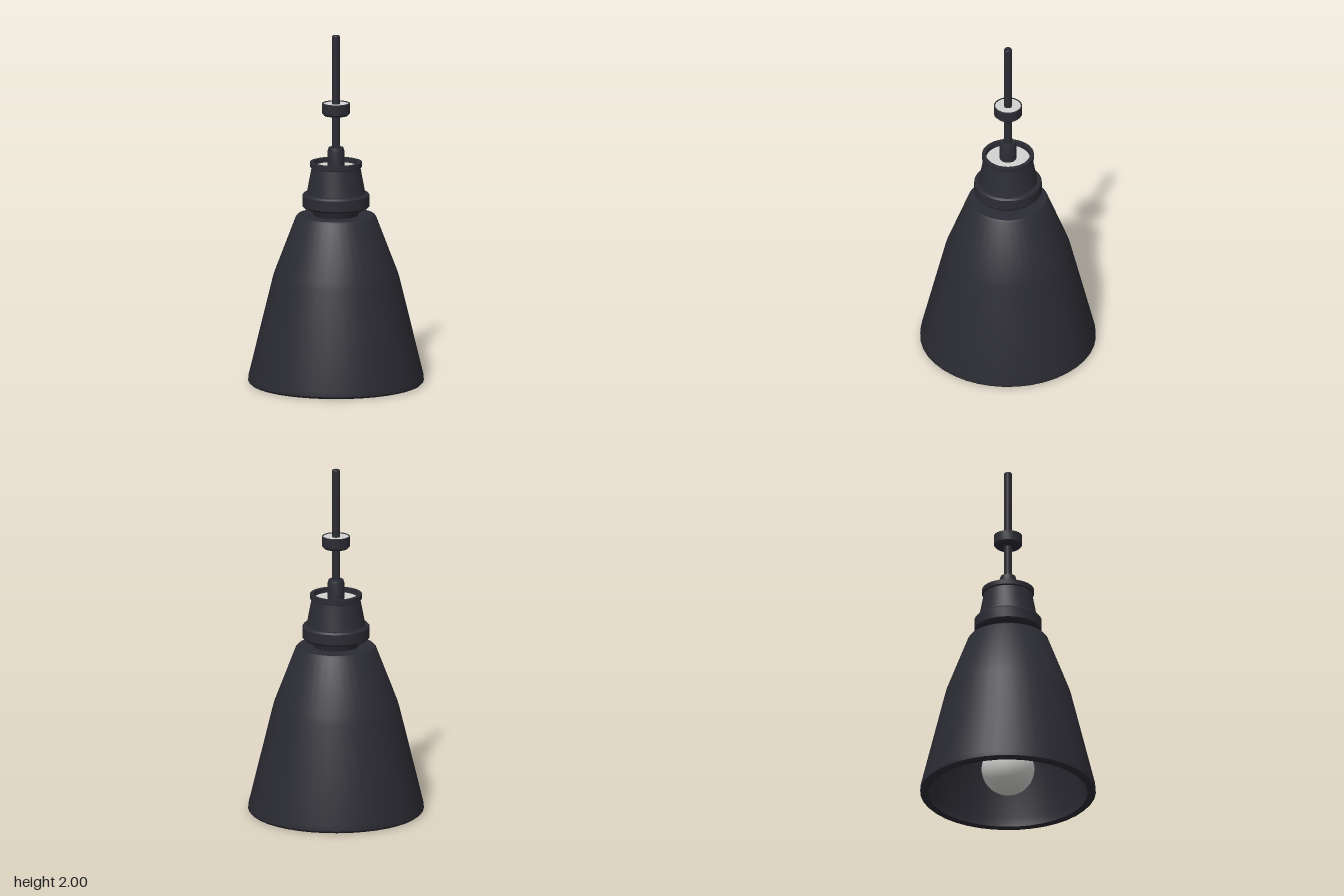
import * as THREE from 'three';
import { toCreasedNormals } from 'three/addons/utils/BufferGeometryUtils.js';

export function createModel() {
  const lamp = new THREE.Group();
  lamp.name = 'pendantLamp';

  const darkMetal = new THREE.MeshStandardMaterial({ color: 0x2b2b33 });
  darkMetal.name = 'darkMetal';
  const paleWhite = new THREE.MeshStandardMaterial({ color: 0xd2d2d0 });
  paleWhite.name = 'paleWhite';

  // Turned part from [radius, height] pairs, outside listed upwards
  function turned(name, profile, material, segments = 32) {
    const points = profile.map(([r, y]) => new THREE.Vector2(r, y));
    const geometry = toCreasedNormals(new THREE.LatheGeometry(points, segments), 0.5);
    const mesh = new THREE.Mesh(geometry, material);
    mesh.name = name;
    lamp.add(mesh);
  }

  // Hollow shade: outer wall up, closed top, inner wall down, thick lip
  turned('shade', [
    [0.45, 0.005], [0.485, 0], [0.497, 0.012], [0.495, 0.045], [0.36, 0.6], [0.35, 0.635],
    [0.228, 0.955], [0.218, 0.966], [0, 0.966],
  ], darkMetal, 40);
  turned('shadeLining', [
    [0, 0.93], [0.2, 0.93], [0.325, 0.6], [0.455, 0.06], [0.45, 0.005],
  ], darkMetal, 40);

  // Neck, collar and cap with a raised rim
  turned('socketCap', [
    [0.12, 0.95], [0.13, 0.975], [0.14, 1.005], [0.18, 1.008], [0.191, 1.02], [0.191, 1.08],
    [0.183, 1.09], [0.166, 1.092], [0.138, 1.24], [0.147, 1.245], [0.147, 1.272],
    [0.125, 1.272], [0.122, 1.235],
  ], darkMetal);
  turned('capPlate', [[0.124, 1.246], [0, 1.246]], paleWhite, 24);

  // Cord grip, cord and cord ring
  turned('cordGrip', [
    [0.048, 1.24], [0.048, 1.335], [0.042, 1.355], [0, 1.357],
  ], darkMetal, 20);
  turned('cord', [[0.023, 1.3], [0.023, 1.995], [0.02, 2], [0, 2]], darkMetal, 16);
  turned('cordRing', [
    [0, 1.54], [0.068, 1.54], [0.08, 1.553], [0.08, 1.609], [0.074, 1.612], [0.073, 1.6],
  ], darkMetal, 24);
  turned('ringPlate', [[0.075, 1.606], [0, 1.606]], paleWhite, 24);

  // Bulb: round globe narrowing to a stem, held by a socket inside the shade
  const bulb = [];
  for (let i = 0; i <= 14; i++) {
    const a = -Math.PI / 2 + (i / 14) * 2.45;
    bulb.push([Math.max(0, 0.15 * Math.cos(a)), 0.155 + 0.15 * Math.sin(a)]);
  }
  bulb.push([0.075, 0.36], [0.07, 0.46]);
  turned('bulb', bulb, paleWhite, 28);
  turned('bulbSocket', [[0, 0.44], [0.085, 0.44], [0.09, 0.46], [0.09, 0.935]], darkMetal, 24);

  return lamp;
}
